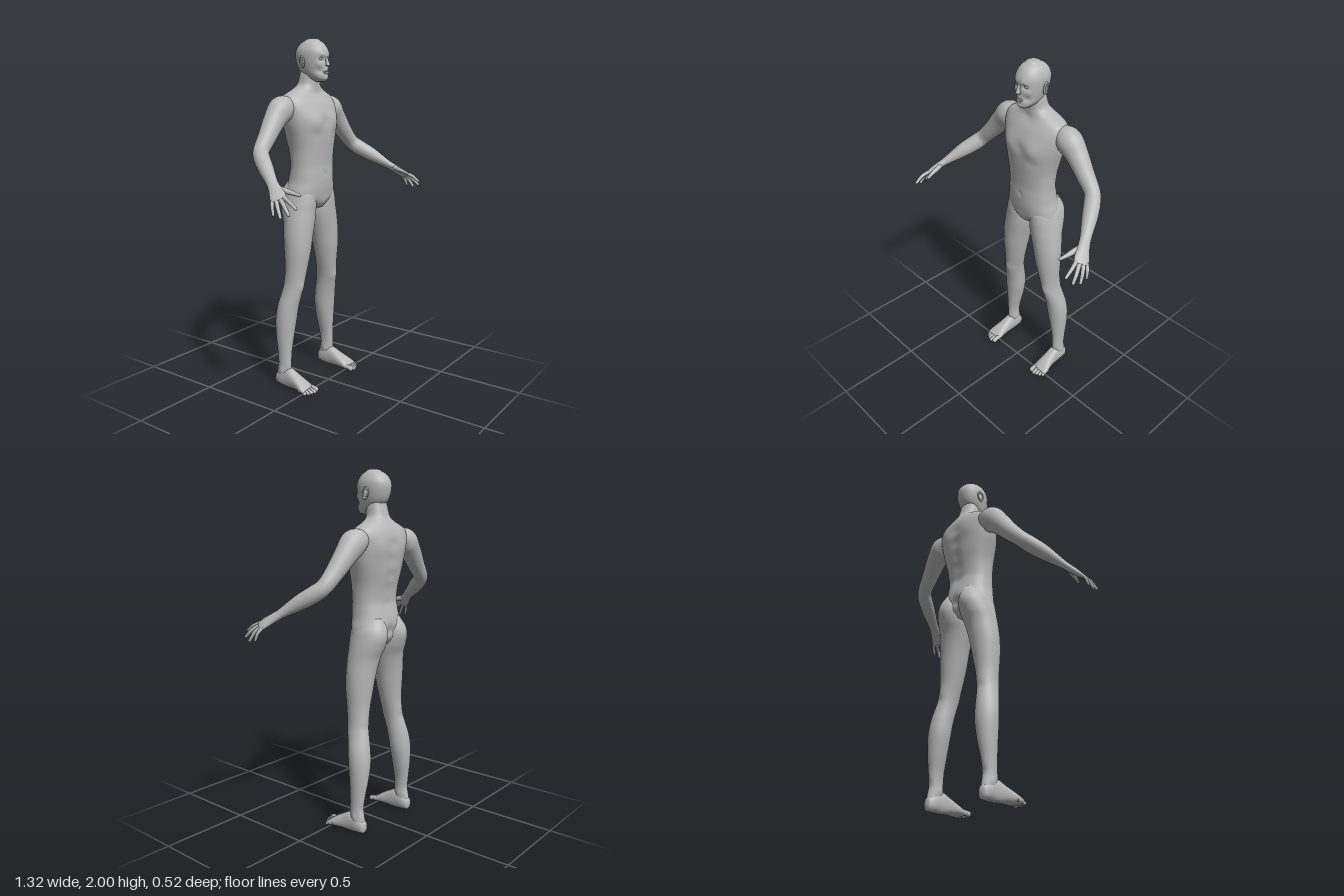
import * as THREE from 'three';

const skin = new THREE.MeshStandardMaterial({ color: 0xb8b8b8 });
skin.name = 'plain grey skin';

// Smooth interpolation through a list of sections, t from 0 to 1
function sampleSections(s, t) {
  const f = t * (s.length - 1), i = Math.min(Math.floor(f), s.length - 2), k = f - i;
  const at = (n) => s[Math.max(0, Math.min(s.length - 1, n))];
  const [a, b, c, d] = [at(i - 1), at(i), at(i + 1), at(i + 2)];
  return b.map((v, n) => v + 0.5 * k * (c[n] - a[n]
    + k * (2 * a[n] - 5 * v + 4 * c[n] - d[n] + k * (3 * (v - c[n]) + d[n] - a[n]))));
}

// Skin over oval sections [x, y, z, radius along ref, other radius] with domed ends.
// A fixed axis keeps every ring parallel; otherwise rings follow the path.
function loft(sections, { ref = [1, 0, 0], axis = null, n = 20, steps = 5, power = 2, caps = [0.6, 0.9] } = {}) {
  const rows = (sections.length - 1) * steps, rings = [];
  const point = (t) => new THREE.Vector3(...sampleSections(sections, t));
  for (let i = 0; i <= rows; i++) {
    const t = i / rows, [x, y, z, ru, rw] = sampleSections(sections, t);
    const dir = axis ? new THREE.Vector3(...axis)
      : point(Math.min(1, t + 0.02)).sub(point(Math.max(0, t - 0.02))).normalize();
    const u = new THREE.Vector3(...ref).addScaledVector(dir, -dir.dot(new THREE.Vector3(...ref))).normalize();
    const w = dir.clone().cross(u);
    rings.push({ c: new THREE.Vector3(x, y, z), dir, u, w, ru, rw });
  }
  const dome = (r, depth, sign) => [0, 1, 2, 3, 4].map((k) => {
    const a = (k / 5) * Math.PI / 2, m = Math.max(0.005, Math.sin(a));
    const c = r.c.clone().addScaledVector(r.dir, sign * Math.cos(a) * depth * Math.min(r.ru, r.rw));
    return { ...r, c, ru: r.ru * m, rw: r.rw * m };
  });
  const all = [...dome(rings[0], caps[0], -1), ...rings, ...dome(rings[rows], caps[1], 1).reverse()];
  const pos = [], index = [];
  const round = (v) => Math.sign(v) * Math.abs(v) ** (2 / power);
  all.forEach((r, i) => {
    for (let j = 0; j < n; j++) {
      const a = (j / n) * Math.PI * 2;
      const p = r.c.clone().addScaledVector(r.u, r.ru * round(Math.cos(a)))
        .addScaledVector(r.w, r.rw * round(Math.sin(a)));
      pos.push(p.x, p.y, p.z);
      if (i < all.length - 1) {
        const A = i * n + j, B = i * n + (j + 1) % n;
        index.push(A, B, A + n, B, B + n, A + n);
      }
    }
  });
  const g = new THREE.BufferGeometry();
  g.setAttribute('position', new THREE.Float32BufferAttribute(pos, 3));
  g.setIndex(index);
  g.computeVertexNormals();
  return g;
}

// Soft pushes [x, y, z, radius, dx, dy, dz], repeated on both sides when x is not 0
function sculpt(g, pushes) {
  const p = g.attributes.position, v = new THREE.Vector3();
  const both = pushes.flatMap((q) => (q[0] ? [q, [-q[0], ...q.slice(1, 4), -q[4], q[5], q[6]]] : [q]));
  for (let i = 0; i < p.count; i++) {
    v.fromBufferAttribute(p, i);
    const o = v.clone();
    for (const [x, y, z, r, dx, dy, dz] of both) {
      const f = Math.exp(-((o.x - x) ** 2 + (o.y - y) ** 2 + (o.z - z) ** 2) / (r * r));
      v.x += dx * f; v.y += dy * f; v.z += dz * f;
    }
    p.setXYZ(i, v.x, v.y, v.z);
  }
  g.computeVertexNormals();
  return g;
}

function mirrored(g) {
  const m = g.clone().scale(-1, 1, 1), a = m.index.array;
  for (let i = 0; i < a.length; i += 3) [a[i], a[i + 1]] = [a[i + 1], a[i]];
  m.computeVertexNormals();
  return m;
}

// Level section from its inner and outer x, front and back z
const level = ([y, inner, outer, front, back]) =>
  [(inner + outer) / 2, y, (front + back) / 2, (outer - inner) / 2, (front - back) / 2];

export function createModel() {
  const body = new THREE.Group();
  body.name = 'body';
  const add = (name, g) => {
    const m = new THREE.Mesh(g, skin);
    m.name = name;
    body.add(m);
  };
  const pair = (name, g) => {
    add('left' + name, g);
    add('right' + name, mirrored(g));
  };

  // Torso and neck: [y, half width, front z, back z]
  const torso = loft([
    [1.06, 0.1, -0.06, -0.205], [1.1, 0.165, -0.033, -0.235], [1.15, 0.165, -0.022, -0.243],
    [1.2, 0.152, -0.018, -0.235], [1.25, 0.147, -0.018, -0.224], [1.3, 0.145, -0.02, -0.216],
    [1.38, 0.15, -0.015, -0.226], [1.45, 0.165, -0.01, -0.24], [1.52, 0.184, -0.01, -0.247],
    [1.58, 0.196, -0.018, -0.25], [1.64, 0.205, -0.042, -0.246], [1.68, 0.19, -0.065, -0.235],
    [1.705, 0.145, -0.077, -0.222], [1.727, 0.094, -0.08, -0.21], [1.75, 0.068, -0.08, -0.198],
    [1.79, 0.06, -0.078, -0.187], [1.82, 0.055, -0.08, -0.18],
  ].map(([y, w, f, b]) => level([y, -w, w, f, b])), { axis: [0, 1, 0], n: 64, power: 2.25, caps: [0.3, 0.1] });
  add('torso', sculpt(torso, [
    [0.085, 1.54, -0.01, 0.05, 0, 0, 0.012], [0, 1.54, 0, 0.03, 0, 0, -0.006],
    [0.09, 1.47, -0.01, 0.03, 0, 0, -0.004], [0, 1.25, -0.018, 0.012, 0, 0, -0.006],
    [0.1, 1.59, -0.24, 0.06, 0, 0, -0.008], [0, 1.07, -0.045, 0.035, 0, 0, 0.012],
    [0, 1.13, -0.24, 0.035, 0, 0, 0.02], [0, 1.69, -0.08, 0.02, 0, 0, -0.006],
    ...[1.28, 1.36, 1.44, 1.52, 1.6].map((y) => [0, y, -0.235, 0.035, 0, 0, 0.008]),
  ]));

  // Head: [y, half width, front z, back z]
  const head = loft([
    [1.768, 0.03, -0.022, -0.09], [1.78, 0.044, -0.014, -0.13], [1.8, 0.057, -0.013, -0.16],
    [1.83, 0.067, -0.014, -0.19], [1.87, 0.076, -0.014, -0.206], [1.91, 0.079, -0.011, -0.212],
    [1.94, 0.074, -0.02, -0.205], [1.97, 0.058, -0.042, -0.182], [1.99, 0.035, -0.07, -0.147],
  ].map(([y, w, f, b]) => level([y, -w, w, f, b])), { axis: [0, 1, 0], n: 64, steps: 7, power: 2.15, caps: [0.25, 0.28] });
  add('head', sculpt(head, [
    [0.031, 1.885, -0.018, 0.015, 0, 0, -0.013], [0.03, 1.903, -0.015, 0.016, 0, 0, 0.004],
    [0.048, 1.855, -0.03, 0.02, 0.003, 0, 0.004], [0.042, 1.82, -0.03, 0.018, -0.004, 0, -0.005],
    [0, 1.812, -0.012, 0.02, 0, 0, 0.004], [0, 1.796, -0.012, 0.01, 0, 0, -0.005],
    [0, 1.775, -0.015, 0.016, 0, 0, 0.004],
  ]));
  add('nose', sculpt(loft([
    [0, 1.9, -0.018, 0.007, 0.007], [0, 1.875, -0.009, 0.008, 0.009], [0, 1.852, -0.003, 0.012, 0.011],
  ], { caps: [0.5, 0.6] }), [[0.012, 1.849, -0.005, 0.008, 0.005, 0, 0]]));
  for (const [name, y, r] of [['upperLip', 1.819, 0.004], ['lowerLip', 1.811, 0.005]]) {
    add(name, loft([[-0.023, 1.815, -0.018, 0.002, 0.002], [-0.01, y, -0.01, r, r],
      [0.01, y, -0.01, r, r], [0.023, 1.815, -0.018, 0.002, 0.002]], { ref: [0, 1, 0], n: 12 }));
  }
  pair('Eye', new THREE.SphereGeometry(0.012, 20, 14).scale(1.2, 0.75, 0.8).translate(0.031, 1.885, -0.034));
  // Ear: a lobe with a raised rim
  pair('Ear', new THREE.SphereGeometry(1, 20, 14).scale(0.007, 0.03, 0.017)
    .rotateX(-0.2).rotateY(0.3).translate(0.08, 1.868, -0.118));
  pair('EarRim', new THREE.TorusGeometry(0.022, 0.005, 10, 28).scale(0.7, 1.25, 1)
    .rotateY(Math.PI / 2).rotateX(-0.2).rotateY(0.3).translate(0.085, 1.87, -0.12));

  // Legs with buttocks: [y, inner x, outer x, front z, back z]
  const leg = loft([
    [1.2, 0.025, 0.125, -0.09, -0.228], [1.15, 0.004, 0.163, -0.045, -0.256],
    [1.1, 0.001, 0.178, -0.036, -0.264], [1.04, 0.003, 0.19, -0.037, -0.246], [0.98, 0.016, 0.199, -0.037, -0.222],
    [0.89, 0.04, 0.21, -0.04, -0.207], [0.8, 0.06, 0.211, -0.045, -0.198], [0.7, 0.084, 0.208, -0.058, -0.19],
    [0.62, 0.104, 0.211, -0.068, -0.195], [0.56, 0.114, 0.222, -0.078, -0.205], [0.48, 0.12, 0.242, -0.095, -0.222],
    [0.4, 0.127, 0.25, -0.105, -0.23], [0.3, 0.147, 0.247, -0.115, -0.225], [0.2, 0.17, 0.241, -0.122, -0.212],
    [0.12, 0.176, 0.24, -0.122, -0.212], [0.06, 0.177, 0.24, -0.125, -0.22],
  ].map(level), { axis: [0, -1, 0], n: 40, caps: [0.3, 0.3] });
  pair('Leg', sculpt(leg, [
    [0.16, 0.6, -0.07, 0.03, 0, 0, 0.006], [0.165, 0.6, -0.2, 0.03, 0, 0, 0.006],
    [0.178, 0.105, -0.16, 0.018, -0.006, 0, 0], [0.24, 0.095, -0.17, 0.018, 0.006, 0, 0],
    [0.208, 0.14, -0.21, 0.03, 0, 0, 0.008],
  ]));

  // Foot with a flattened sole, then five toes
  const foot = loft([
    [0.208, 0.04, -0.212, 0.028, 0.036], [0.208, 0.05, -0.18, 0.035, 0.05], [0.208, 0.054, -0.13, 0.036, 0.06],
    [0.21, 0.045, -0.08, 0.04, 0.046], [0.214, 0.032, -0.03, 0.048, 0.032], [0.216, 0.022, 0, 0.052, 0.022],
    [0.217, 0.018, 0.013, 0.05, 0.016],
  ], { axis: [0, 0, 1], n: 32, power: 2.3, caps: [0.5, 0.5] });
  const sole = foot.attributes.position;
  for (let i = 0; i < sole.count; i++) sole.setY(i, Math.max(0.004, sole.getY(i)));
  foot.computeVertexNormals();
  pair('Foot', foot);
  [[0.179, 0.056, 0.016], [0.203, 0.06, 0.011], [0.223, 0.053, 0.0105], [0.241, 0.043, 0.01], [0.257, 0.03, 0.01]]
    .forEach(([x, tip, r], i) => pair('Toe' + (i + 1), loft([
      [x, 0.021, tip - 0.055, r * 0.9, r], [x, 0.02, tip - 0.03, r * 0.85, r * 0.9], [x, r, tip - r, r, r],
    ], { n: 14, caps: [0.5, 1] })));

  // Arm and palm share the direction across the knuckles
  const across = [0.55, -0.35, -0.75];
  pair('Arm', loft([
    [0.155, 1.632, -0.157, 0.05, 0.05], [0.222, 1.612, -0.157, 0.07, 0.074], [0.283, 1.555, -0.155, 0.06, 0.063],
    [0.355, 1.472, -0.145, 0.05, 0.051], [0.42, 1.402, -0.132, 0.043, 0.044], [0.455, 1.363, -0.095, 0.044, 0.046],
    [0.495, 1.322, -0.035, 0.041, 0.042], [0.535, 1.277, 0.03, 0.032, 0.029], [0.56, 1.249, 0.07, 0.029, 0.021],
  ], { ref: across, n: 32, caps: [0.6, 0.3] }));
  pair('Palm', loft([
    [0.55, 1.26, 0.054, 0.029, 0.022], [0.575, 1.232, 0.095, 0.034, 0.02],
    [0.595, 1.21, 0.125, 0.041, 0.017], [0.61, 1.193, 0.145, 0.041, 0.013],
  ], { ref: across, n: 28, power: 2.2, caps: [0.2, 0.7] }));

  // Fingers: knuckle, gently raised middle joint, tip
  const finger = (name, a, b, r) => {
    const mid = a.map((v, i) => (v + b[i]) / 2 + [0.005, 0.006, 0.001][i]);
    pair(name, loft([[...a, r, r], [...mid, r * 0.92, r * 0.92], [...b, r * 0.7, r * 0.7]],
      { ref: across, n: 14, caps: [0.6, 1] }));
  };
  finger('IndexFinger', [0.592, 1.206, 0.162], [0.606, 1.16, 0.248], 0.0115);
  finger('MiddleFinger', [0.603, 1.198, 0.15], [0.638, 1.133, 0.23], 0.012);
  finger('RingFinger', [0.615, 1.192, 0.134], [0.65, 1.118, 0.188], 0.0115);
  finger('LittleFinger', [0.625, 1.186, 0.118], [0.65, 1.125, 0.144], 0.01);
  pair('Thumb', loft([
    [0.564, 1.243, 0.08, 0.016, 0.014], [0.55, 1.232, 0.13, 0.016, 0.014],
    [0.541, 1.222, 0.175, 0.012, 0.011], [0.53, 1.213, 0.212, 0.008, 0.008],
  ], { ref: across, n: 16, caps: [0.6, 1] }));

  return body;
}
